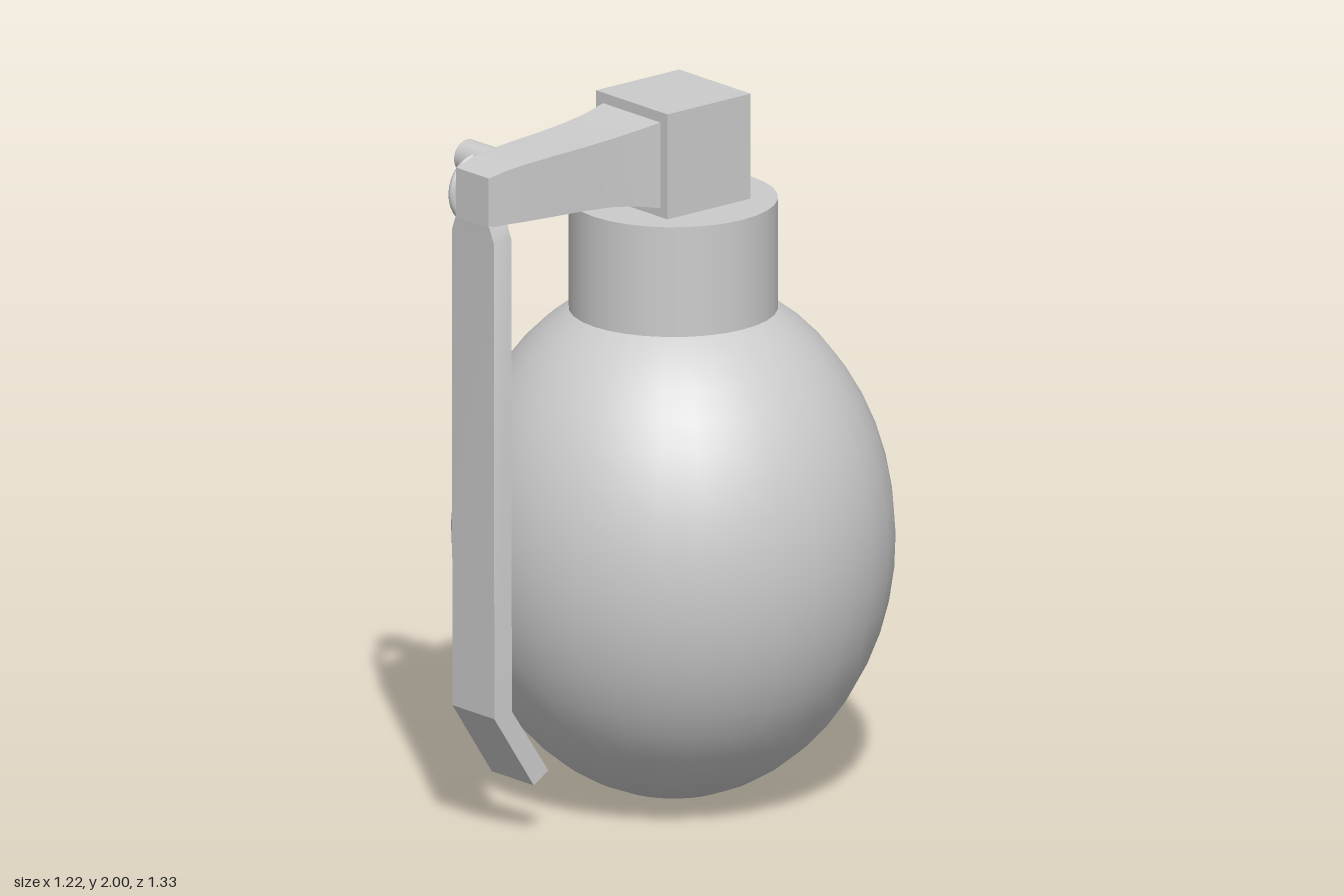
import * as THREE from 'three';
import { toCreasedNormals } from 'three/addons/utils/BufferGeometryUtils.js';

const grey = new THREE.MeshStandardMaterial({ color: 0xcccccc });
const AXIS_Z = -0.06;

// Solid lofted through rectangular sections [outerZ, outerY, innerZ, innerY, halfWidth]
function loft(sections) {
  const pos = [], idx = [];
  for (const [az, ay, bz, by, w] of sections) {
    pos.push(w, ay, az, -w, ay, az, -w, by, bz, w, by, bz);
  }
  const quad = (a, b, c, d) => idx.push(a, b, c, a, c, d);
  for (let i = 0; i < sections.length - 1; i++) {
    for (let j = 0; j < 4; j++) {
      const k = (j + 1) % 4, p = i * 4, q = p + 4;
      quad(p + j, p + k, q + k, q + j);
    }
  }
  const e = (sections.length - 1) * 4;
  quad(3, 2, 1, 0);
  quad(e, e + 1, e + 2, e + 3);
  const geo = new THREE.BufferGeometry();
  geo.setAttribute('position', new THREE.Float32BufferAttribute(pos, 3));
  geo.setIndex(idx);
  return toCreasedNormals(geo, 0.4);
}

export function createModel() {
  const group = new THREE.Group();
  const add = (name, geo, x = 0, y = 0, z = 0) => {
    const mesh = new THREE.Mesh(geo, grey);
    mesh.name = name;
    mesh.position.set(x, y, z);
    group.add(mesh);
    return mesh;
  };

  // Egg-shaped body, open at the top where the collar covers it
  const body = new THREE.SphereGeometry(1, 32, 20, 0, Math.PI * 2, 0.49, Math.PI - 0.49);
  body.scale(0.612, 0.735, 0.608);
  add('body', body, 0, 0.738, AXIS_Z);

  // Collar and square head
  add('collar', new THREE.CylinderGeometry(0.287, 0.287, 0.325, 32), 0, 1.5375, AXIS_Z);
  add('head', new THREE.BoxGeometry(0.3, 0.3, 0.3), 0, 1.85, AXIS_Z);

  // Tapering arm reaching forward from the head
  add('arm', loft([
    [0.09, 1.97, 0.09, 1.725, 0.12],
    [0.165, 1.958, 0.165, 1.742, 0.108],
    [0.24, 1.95, 0.24, 1.754, 0.101],
    [0.34, 1.943, 0.34, 1.761, 0.095],
    [0.45, 1.938, 0.45, 1.765, 0.09],
    [0.54, 1.932, 0.54, 1.768, 0.084],
    [0.60, 1.925, 0.60, 1.77, 0.077],
    [0.665, 1.912, 0.665, 1.77, 0.069],
  ]));

  // Long lever hanging from the arm, kinked inward at the bottom
  add('lever', loft([
    [0.665, 1.775, 0.6, 1.775, 0.069],
    [0.663, 1.73, 0.6, 1.73, 0.088],
    [0.661, 0.37, 0.598, 0.38, 0.088],
    [0.519, 0.153, 0.466, 0.185, 0.088],
  ]));

  // Pin through the arm, with its pull ring
  const pin = add('pin', new THREE.CylinderGeometry(0.047, 0.047, 0.22, 24), -0.16, 1.857, 0.452);
  pin.rotation.z = Math.PI / 2;
  const ring = add('pullRing', new THREE.TorusGeometry(0.093, 0.012, 10, 32), -0.204, 1.783, 0.467);
  ring.rotation.y = Math.PI / 2;

  return group;
}
